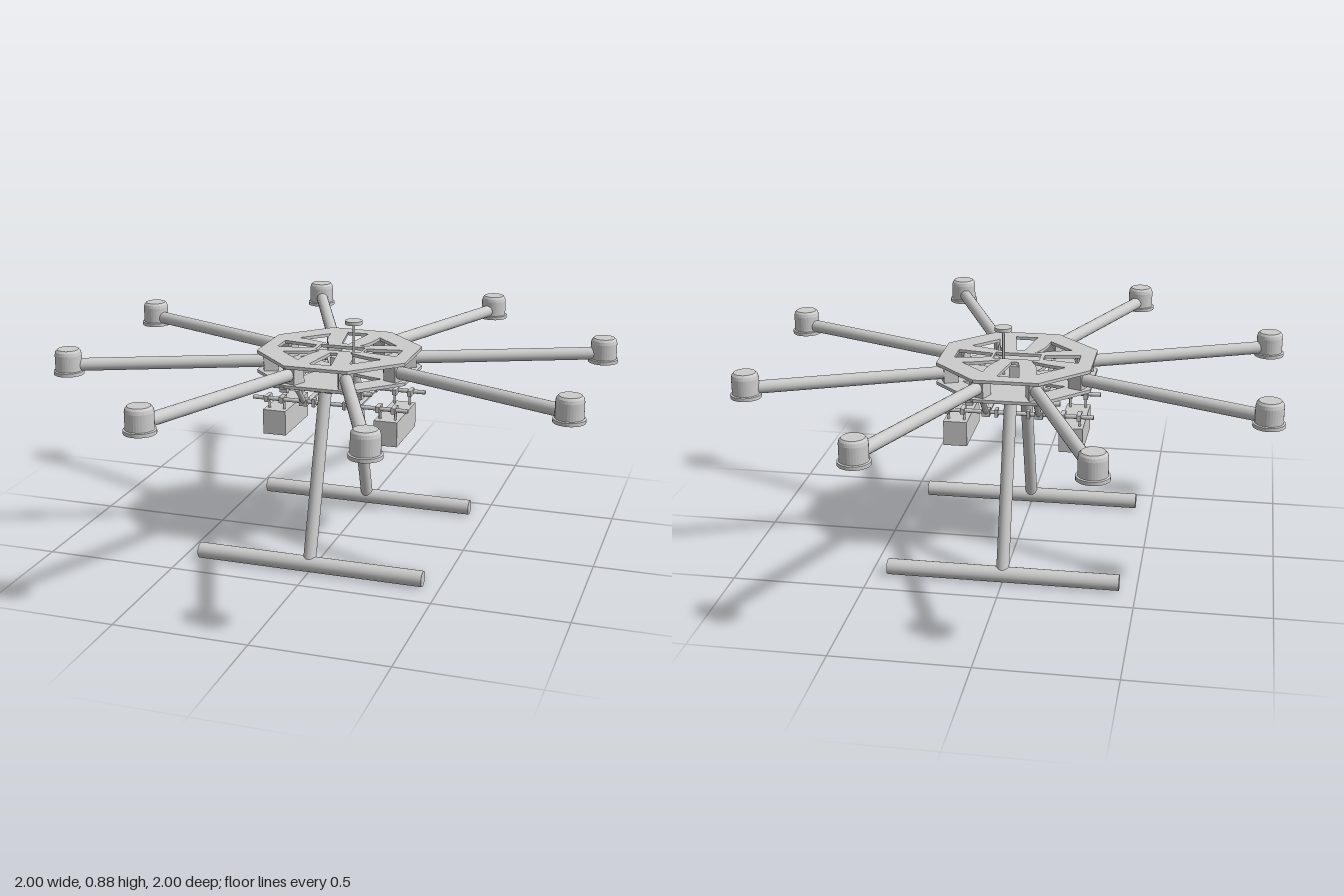
import * as THREE from 'three';

const mat = new THREE.MeshStandardMaterial({ color: 0xcccccc });

export function createModel() {
  const model = new THREE.Group();

  const add = (name, geo, x = 0, y = 0, z = 0, parent = model) => {
    const m = new THREE.Mesh(geo, mat);
    m.name = name;
    m.position.set(x, y, z);
    parent.add(m);
    return m;
  };
  const box = (name, w, h, d, x, y, z, parent) => add(name, new THREE.BoxGeometry(w, h, d), x, y, z, parent);

  // Round rod between two points
  const rod = (name, a, b, r, seg = 16, parent = model) => {
    const p = new THREE.Vector3(...a), q = new THREE.Vector3(...b);
    const dir = q.clone().sub(p);
    const m = add(name, new THREE.CylinderGeometry(r, r, dir.length(), seg), 0, 0, 0, parent);
    m.position.copy(p).add(q).multiplyScalar(0.5);
    m.quaternion.setFromUnitVectors(new THREE.Vector3(0, 1, 0), dir.normalize());
    return m;
  };

  // Octagonal frame plates with cut-outs
  const path = (pts) => new THREE.Path(pts.map(([x, z]) => new THREE.Vector2(x, z)));
  const plate = (name, y, axialHoles) => {
    const s = new THREE.Shape();
    for (let i = 0; i < 8; i++) {
      const a = Math.PI / 8 + (i * Math.PI) / 4, r = 0.29 / Math.cos(Math.PI / 8);
      if (i) s.lineTo(r * Math.cos(a), r * Math.sin(a));
      else s.moveTo(r * Math.cos(a), r * Math.sin(a));
    }
    s.closePath();
    for (const sx of [-1, 1]) for (const sz of [-1, 1]) {
      const h = new THREE.Path();
      h.moveTo(sx * 0.06, sz * 0.05);
      h.quadraticCurveTo(sx * 0.095, sz * 0.11, sx * 0.1, sz * 0.195);
      h.lineTo(sx * 0.195, sz * 0.1);
      h.quadraticCurveTo(sx * 0.12, sz * 0.085, sx * 0.06, sz * 0.05);
      s.holes.push(h);
    }
    if (axialHoles) {
      for (const k of [-1, 1]) {
        s.holes.push(path([[-0.014, k * 0.07], [0.014, k * 0.07], [0.042, k * 0.235], [-0.042, k * 0.235]]));
        s.holes.push(path([[k * 0.1, -0.022], [k * 0.1, 0.022], [k * 0.235, 0.045], [k * 0.235, -0.045]]));
      }
      s.holes.push(path([[-0.085, -0.035], [0.09, -0.035], [0.09, 0.035], [-0.085, 0.035]]));
    }
    const g = new THREE.ExtrudeGeometry(s, { depth: 0.012, bevelEnabled: false, curveSegments: 8 });
    g.rotateX(-Math.PI / 2);
    add(name, g, 0, y, 0);
  };
  plate('topPlate', 0.753, true);
  plate('bottomPlate', 0.678, false);

  // Eight arms with clamps and motors
  const motorProfile = [[0, 0.69], [0.057, 0.69], [0.057, 0.703], [0.05, 0.705], [0.05, 0.765],
    [0.047, 0.777], [0.04, 0.785], [0, 0.785]].map(([r, y]) => new THREE.Vector2(r, y));
  const motorGeo = new THREE.LatheGeometry(motorProfile, 32).toNonIndexed();
  motorGeo.computeVertexNormals();
  for (let i = 0; i < 8; i++) {
    const arm = new THREE.Group();
    arm.name = 'arm' + (i + 1);
    rod('armTube', [0.23, 0.724, 0], [1.0, 0.724, 0], 0.024, 20, arm);
    add('motor', motorGeo, 1.018, 0, 0, arm);
    box('armClamp', 0.055, 0.064, 0.056, 0.262, 0.721, 0, arm);
    arm.rotation.y = Math.PI / 8 + (i * Math.PI) / 4;
    model.add(arm);
  }

  // Controller and antenna mast
  box('controller', 0.06, 0.045, 0.06, 0, 0.712, 0);
  rod('antennaMast', [0.055, 0.69, 0], [0.055, 0.87, 0], 0.005, 10);
  add('antennaDisc', new THREE.CylinderGeometry(0.033, 0.033, 0.014, 28), 0.055, 0.871, 0);

  for (const s of [-1, 1]) {
    // Landing gear
    rod('leg', [0, 0.67, s * 0.168], [0, 0.04, s * 0.367], 0.024, 20);
    rod('skid', [-0.437, 0.031, s * 0.37], [0.437, 0.031, s * 0.37], 0.03, 24);
    box('legMount', 0.07, 0.035, 0.06, 0, 0.664, s * 0.17);

    // Upper and lower payload rails
    rod('upperRail', [-0.19, 0.661, s * 0.21], [0.19, 0.661, s * 0.21], 0.009, 10);
    rod('lowerRail', [-0.305, 0.582, s * 0.125], [0.305, 0.582, s * 0.125], 0.008, 10);

    for (const t of [-1, 1]) {
      box('upperRailClamp', 0.028, 0.036, 0.046, t * 0.145, 0.663, s * 0.212);
      rod('strut', [t * 0.1, 0.655, s * 0.205], [t * 0.1, 0.585, s * 0.135], 0.011, 10);
      box('lowerRailClamp', 0.03, 0.026, 0.036, t * 0.1, 0.582, s * 0.127);
      box('railStop', 0.012, 0.03, 0.03, t * 0.06, 0.582, s * 0.125);
      for (const x of [0.19, 0.25]) {
        rod('hangerPin', [t * x, 0.53, s * 0.1], [t * x, 0.575, s * 0.1], 0.005, 8);
        box('hanger', 0.016, 0.022, 0.05, t * x, 0.581, s * 0.115);
      }
    }
  }

  for (const t of [-1, 1]) {
    // Cross members and hanging battery packs
    box('upperCrossBar', 0.024, 0.01, 0.48, t * 0.145, 0.662, 0);
    box('lowerCrossBar', 0.02, 0.006, 0.25, t * 0.1, 0.572, 0);
    box('batteryPack', 0.09, 0.096, 0.264, t * 0.22, 0.488, 0);
  }

  return model;
}
